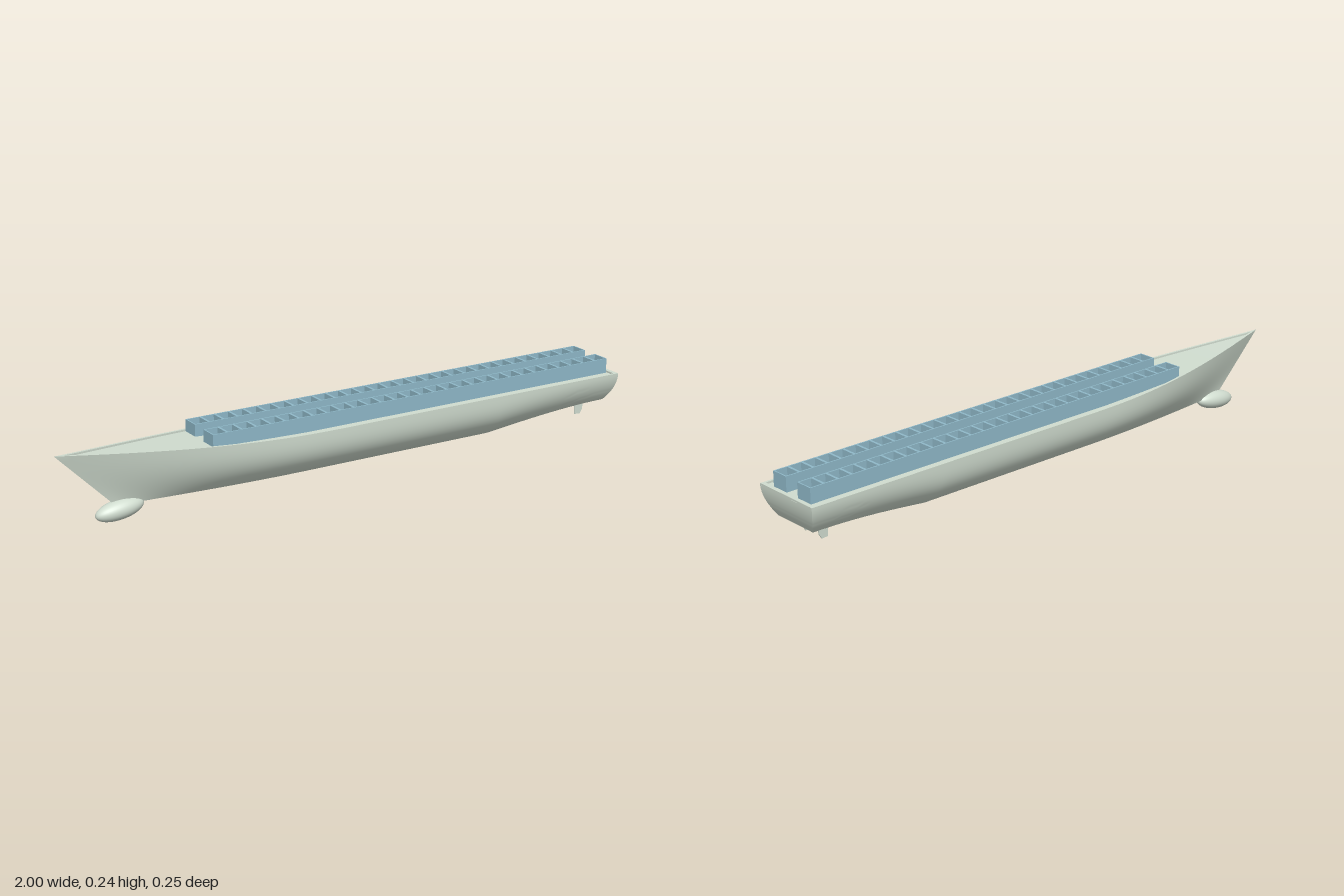
import * as THREE from 'three';
import { toCreasedNormals } from 'three/addons/utils/BufferGeometryUtils.js';

const lerp = THREE.MathUtils.lerp;
const clamp = THREE.MathUtils.clamp;

// Hull form: v runs from the bottom edge (0) to the sheer (1)
const stemX = v => -0.81 - 0.19 * v;
const sternX = v => 0.965 + 0.03 * (1 - (1 - v) ** 2);
const sheerY = x => 0.196 + 0.041 * Math.max(0, (-x - 0.1) / 0.9) ** 1.6;
const sternRise = x => Math.sin(clamp((x - 0.52) / 0.445, 0, 1) * Math.PI / 2);

function hullPoint(s, v) {
  const x = lerp(stemX(v), sternX(v), s);
  const rise = sternRise(lerp(stemX(0), sternX(0), s));
  const keel = 0.047 + 0.052 * rise;
  const top = sheerY(lerp(stemX(1), sternX(1), s));
  const bottom = lerp(0.04, 0.083, rise);
  const full = bottom + (0.124 - bottom) * (1 - (1 - v) ** (3 - rise));
  const t = clamp((x - stemX(v)) / lerp(0.65, 0.8, v), 0, 1);
  return [x, lerp(keel, top, v), full * Math.sin(t * Math.PI / 2)];
}

function hullGeometry() {
  const stations = 72, levels = 14, rim = 0.008, drop = 0.006;
  const positions = [], index = [];
  const ring = 2 * (levels + 3);
  for (let i = 0; i <= stations; i++) {
    const s = i / stations;
    const half = [];
    for (let j = 0; j <= levels; j++) half.push(hullPoint(s, (j / levels) ** 1.3));
    // bulwark top and sunken deck edge
    const [x, y, z] = half[levels];
    const inner = Math.max(0, z - rim);
    half.push([x, y, inner], [x, y - Math.min(drop, z), inner]);
    half.forEach(p => positions.push(...p));
    half.reverse().forEach(p => positions.push(p[0], p[1], -p[2]));
  }
  const quad = (a, b, c, d) => index.push(a, b, c, a, c, d);
  for (let i = 0; i < stations; i++) {
    for (let j = 0; j < ring; j++) {
      const k = (j + 1) % ring, a = i * ring, b = a + ring;
      quad(a + j, b + j, b + k, a + k);
    }
  }
  // curved transom
  const e = stations * ring;
  for (let j = 0; j < levels; j++) {
    quad(e + j, e + ring - 1 - j, e + ring - 2 - j, e + j + 1);
  }
  const g = new THREE.BufferGeometry();
  g.setAttribute('position', new THREE.Float32BufferAttribute(positions, 3));
  g.setIndex(index);
  return toCreasedNormals(g, 0.45);
}

// A long open-topped block divided into a line of cells
function cellRowGeometry(x0, x1, depth, height, cells) {
  const rect = (P, a, b, c, d) => new P([[a, b], [c, b], [c, d], [a, d]].map(p => new THREE.Vector2(...p)));
  const shape = rect(THREE.Shape, x0, -depth / 2, x1, depth / 2);
  const pitch = (x1 - x0) / cells, wall = 0.004;
  for (let i = 0; i < cells; i++) {
    const a = x0 + i * pitch;
    shape.holes.push(rect(THREE.Path, a + wall, -depth / 2 + wall, a + pitch - wall, depth / 2 - wall));
  }
  const g = new THREE.ExtrudeGeometry(shape, { depth: height, bevelEnabled: false });
  return g.rotateX(-Math.PI / 2);
}

export function createModel() {
  const group = new THREE.Group();
  const paint = new THREE.MeshStandardMaterial({ color: 0xd0dccf });
  const blue = new THREE.MeshStandardMaterial({ color: 0x8fb8c8 });
  const add = (name, geometry, material, x = 0, y = 0, z = 0) => {
    const m = new THREE.Mesh(geometry, material);
    m.name = name;
    m.position.set(x, y, z);
    group.add(m);
    return m;
  };

  add('hull', hullGeometry(), paint);
  add('sternBulwark', new THREE.BoxGeometry(0.014, 0.01, 0.234), paint, 0.987, 0.191, 0);

  // bulbous bow
  const bulb = add('bulbousBow', new THREE.SphereGeometry(1, 32, 20).rotateZ(Math.PI / 2), paint, -0.797, 0.033, 0);
  bulb.scale.set(0.08, 0.031, 0.034);
  bulb.rotation.z = 0.14;

  // cargo rows either side of the centre line
  const x0 = -0.522, x1 = 0.974, depth = 0.061;
  for (const [side, z] of [['front', 0.0545], ['back', -0.061]]) {
    add(side + 'CargoRow', cellRowGeometry(x0, x1, depth, 0.05, 30), blue, 0, 0.191, z);
    add(side + 'CargoFloor', new THREE.BoxGeometry(x1 - x0 - 0.004, 0.016, depth - 0.004), blue, (x0 + x1) / 2, 0.2, z);
  }

  // twin rudders
  const blade = new THREE.Shape([[0.88, 0.105], [0.882, 0.049], [0.903, 0.047], [0.912, 0.06], [0.919, 0.105]]
    .map(p => new THREE.Vector2(...p)));
  for (const side of [1, -1]) {
    const g = new THREE.ExtrudeGeometry(blade, { depth: 0.004, bevelEnabled: false });
    add(side > 0 ? 'frontRudder' : 'backRudder', g, paint, 0, 0, side * 0.039 - 0.002);
  }
  return group;
}
